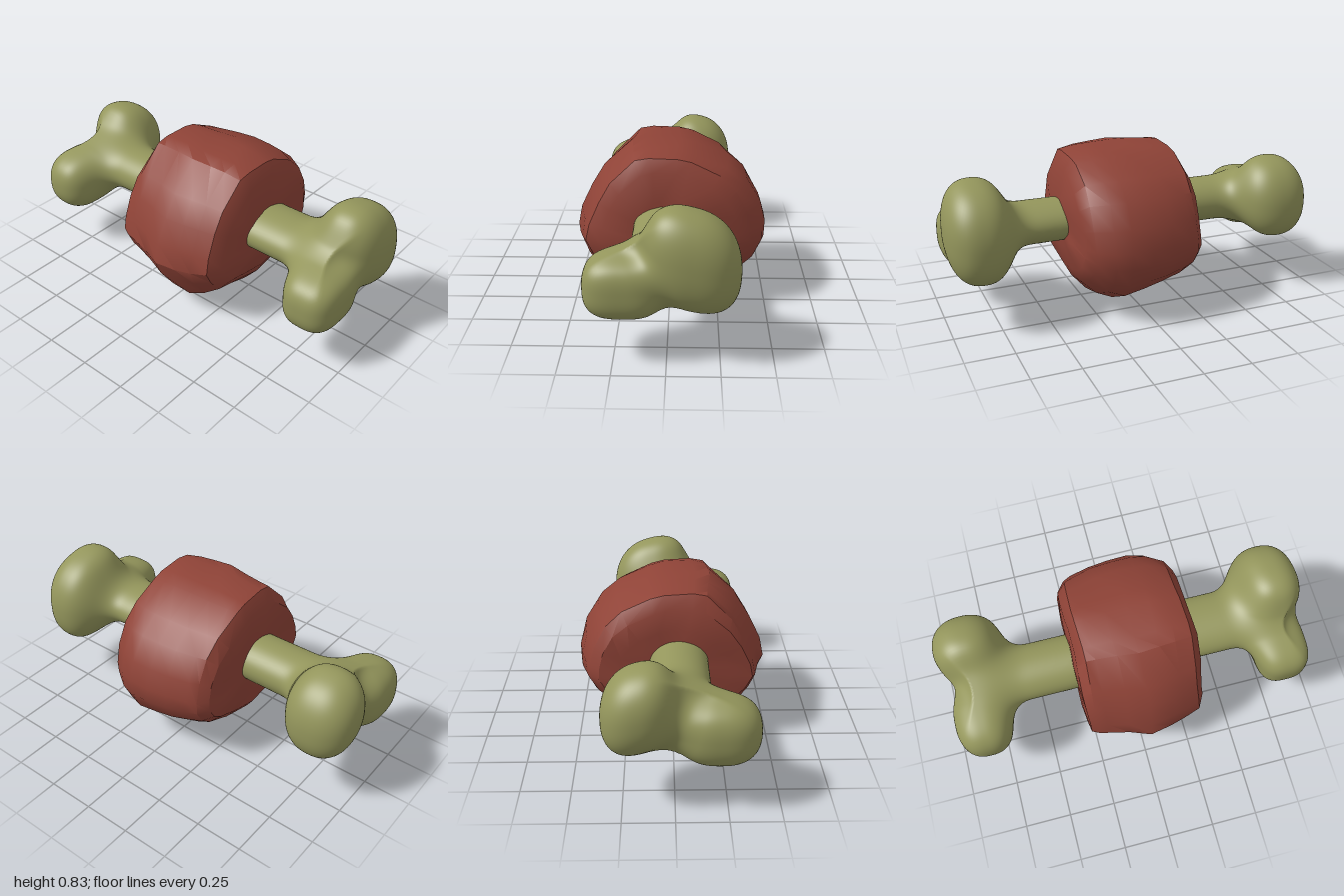
import * as THREE from 'three';
import { mergeVertices, toCreasedNormals } from 'three/addons/utils/BufferGeometryUtils.js';

const meatMat = new THREE.MeshStandardMaterial({ color: 0x8f4337 });
meatMat.name = 'meat red';
const boneMat = new THREE.MeshStandardMaterial({ color: 0x94965c });
boneMat.name = 'bone olive';

// Outline of the meat as [z, y], from the front over the top to the back
const outline = [
  [0.5, 0.34], [0.48, 0.45], [0.42, 0.58], [0.35, 0.69], [0.2, 0.82], [0.12, 0.835], [-0.05, 0.83],
  [-0.13, 0.81], [-0.3, 0.735], [-0.4, 0.65], [-0.47, 0.53], [-0.5, 0.42], [-0.5, 0.33], [-0.45, 0.22],
  [-0.37, 0.14], [-0.2, 0.055], [0, 0], [0.2, 0.055], [0.38, 0.115], [0.46, 0.24],
];
// Meat sections: x, top, bottom, back, front
const sections = [
  [-0.292, 0.64, 0.25, -0.28, 0.3], [-0.283, 0.75, 0.17, -0.385, 0.415], [-0.24, 0.822, 0.115, -0.435, 0.43],
  [-0.19, 0.828, 0.095, -0.455, 0.44], [-0.08, 0.834, 0.06, -0.485, 0.465], [0.03, 0.838, 0.03, -0.5, 0.5],
  [0.14, 0.836, 0, -0.5, 0.48], [0.22, 0.83, 0.04, -0.48, 0.46], [0.305, 0.81, 0.13, -0.425, 0.43],
  [0.345, 0.745, 0.2, -0.36, 0.36], [0.365, 0.6, 0.32, -0.18, 0.2],
];

function meatGeometry() {
  const mid = 0.42, n = outline.length, pos = [], index = [];
  sections.forEach(([x, top, bottom, back, front], i) => {
    outline.forEach(([z, y], j) => {
      const lump = 1 - 0.005 * (1 + Math.sin(i * 2.1 + j * 1.7));
      const v = y > mid ? (y - mid) / 0.415 * (top - mid) : (y - mid) / 0.42 * (mid - bottom);
      const w = z > 0 ? z / 0.5 * front : -z / 0.5 * back;
      pos.push(x + 0.005 * Math.sin(j * 1.3 + i), mid + v * lump, w * lump);
    });
  });
  const last = (sections.length - 1) * n;
  const c0 = pos.length / 3;
  pos.push(-0.295, 0.45, 0, 0.37, 0.45, 0);
  for (let j = 0; j < n; j++) {
    const k = (j + 1) % n;
    for (let r = 0; r < last; r += n) index.push(r + j, r + n + j, r + k, r + k, r + n + j, r + n + k);
    index.push(c0, j, k, c0 + 1, last + k, last + j);
  }
  const g = new THREE.BufferGeometry();
  g.setAttribute('position', new THREE.Float32BufferAttribute(pos, 3));
  g.setIndex(index);
  return toCreasedNormals(g, 0.55);
}

// Rounded blob distance (tilt leans it along z) and soft blending
function blob(p, [cx, cy, cz], [rx, ry, rz], power, tilt) {
  const dz = p.z - cz, dy = p.y - cy - tilt * dz;
  const s = Math.abs((p.x - cx) / rx) ** power + Math.abs(dy / ry) ** power + Math.abs(dz / rz) ** power;
  return (s ** (1 / power) - 1) * Math.min(rx, ry, rz);
}
function blend(a, b, k) {
  const h = Math.max(k - Math.abs(a - b), 0) / k;
  return Math.min(a, b) - h * h * k / 4;
}

// One end of the bone: a ball pushed outwards onto two knobs blended with the shaft
function boneEnd(core, knobs, shaft, softness) {
  const field = (p) => {
    const round = (Math.hypot((p.y - shaft.y) / shaft.ry, (p.z - shaft.z) / shaft.rz) - 1) * shaft.ry;
    const stick = Math.max(round, 0.15 - Math.abs(p.x), Math.abs(p.x) - 0.8);
    const pair = blend(blob(p, ...knobs[0]), blob(p, ...knobs[1]), softness);
    return blend(pair, stick, 0.13);
  };
  const ball = new THREE.IcosahedronGeometry(1, 24);
  ball.deleteAttribute('uv');
  ball.deleteAttribute('normal');
  const g = mergeVertices(ball, 1e-5);
  const at = g.attributes.position;
  const origin = new THREE.Vector3(...core), dir = new THREE.Vector3(), p = new THREE.Vector3();
  for (let i = 0; i < at.count; i++) {
    dir.fromBufferAttribute(at, i).normalize();
    const inside = (t) => field(p.copy(origin).addScaledVector(dir, t)) < 0;
    let lo = 0;
    while (lo < 0.9 && inside(lo + 0.01)) lo += 0.01;
    let hi = lo + 0.01;
    for (let s = 0; s < 8; s++) {
      const m = (lo + hi) / 2;
      if (inside(m)) lo = m; else hi = m;
    }
    p.copy(origin).addScaledVector(dir, lo);
    at.setXYZ(i, p.x, p.y, p.z);
  }
  g.computeVertexNormals();
  return g;
}

export function createModel() {
  const group = new THREE.Group();
  group.name = 'meatOnBone';
  const add = (name, geometry, material) => {
    const mesh = new THREE.Mesh(geometry, material);
    mesh.name = name;
    group.add(mesh);
  };

  add('meat', meatGeometry(), meatMat);

  // Each knob: centre, radii, squareness, tilt
  add('leftBoneEnd', boneEnd([0.8, 0.43, 0.05], [
    [[0.825, 0.505, -0.12], [0.168, 0.238, 0.22], 2.4, 0.25],
    [[0.825, 0.378, 0.2], [0.142, 0.148, 0.185], 2.9, 0],
  ], { y: 0.467, z: 0.01, ry: 0.108, rz: 0.168 }, 0.07), boneMat);
  add('rightBoneEnd', boneEnd([-0.8, 0.45, 0.04], [
    [[-0.815, 0.505, -0.17], [0.182, 0.208, 0.173], 2.3, 0.25],
    [[-0.822, 0.395, 0.21], [0.148, 0.163, 0.19], 2.5, 0],
  ], { y: 0.463, z: 0.03, ry: 0.12, rz: 0.15 }, 0.15), boneMat);

  return group;
}
